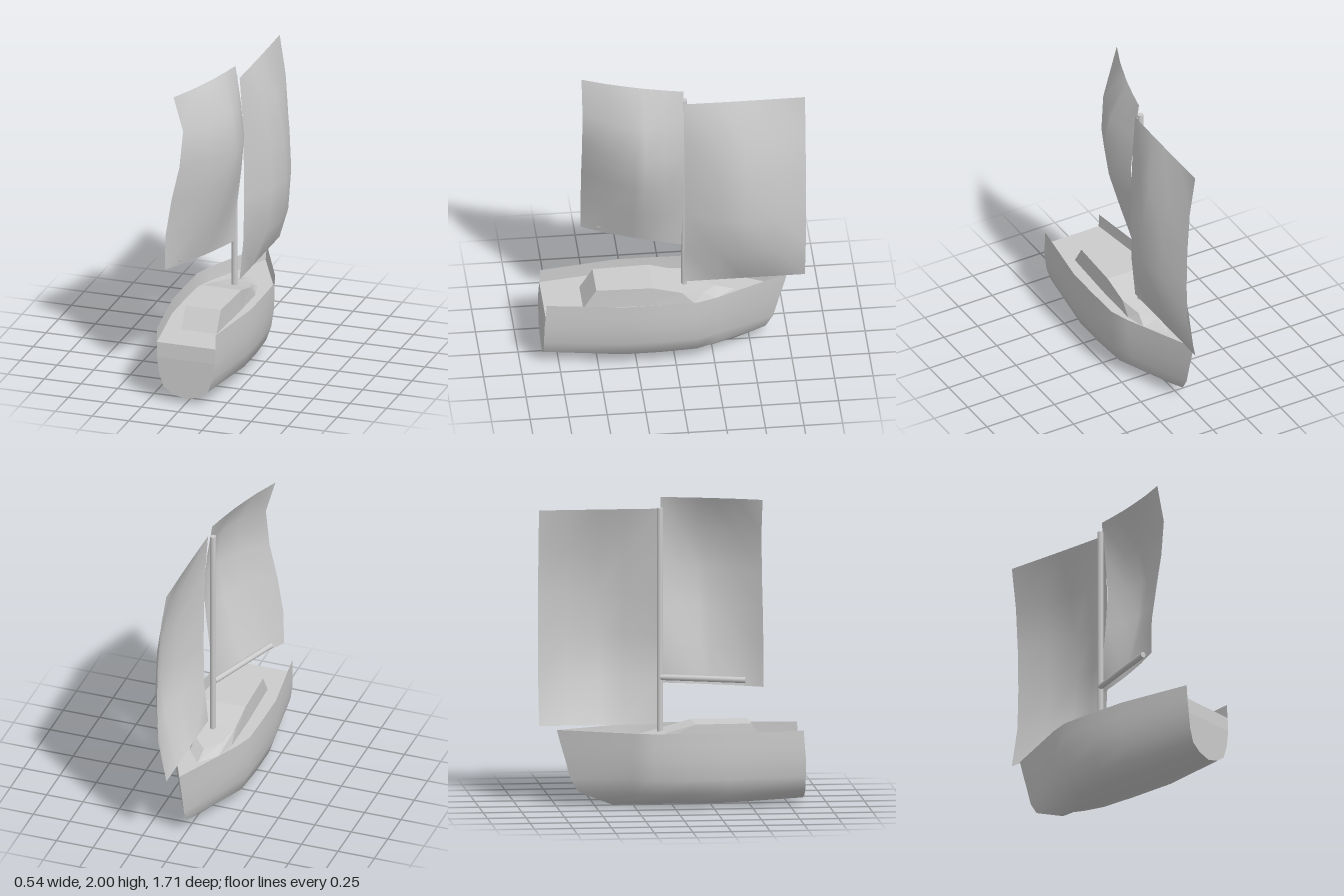
import * as THREE from 'three';

const makeMaterial = (flat = false) =>
  new THREE.MeshStandardMaterial({ color: 0xcccccc, side: THREE.DoubleSide, flatShading: flat });

// Surface through rows of [x, y, z] points
function gridMesh(name, rows, flat = false) {
  const n = rows[0].length, index = [];
  for (let i = 0; i < rows.length - 1; i++) {
    for (let j = 0; j < n - 1; j++) {
      const a = i * n + j, b = a + 1, c = a + n, d = c + 1;
      index.push(a, b, c, b, d, c);
    }
  }
  const geo = new THREE.BufferGeometry();
  geo.setAttribute('position', new THREE.Float32BufferAttribute(rows.flat(2), 3));
  geo.setIndex(index);
  geo.computeVertexNormals();
  const mesh = new THREE.Mesh(geo, makeMaterial(flat));
  mesh.name = name;
  return mesh;
}

const mirror = ([x, y, z]) => [-x, y, z];

// Round bar between two points
function bar(name, from, to, radius) {
  const a = new THREE.Vector3(...from), b = new THREE.Vector3(...to);
  const dir = b.clone().sub(a);
  const mesh = new THREE.Mesh(new THREE.CylinderGeometry(radius, radius, dir.length(), 12), makeMaterial());
  mesh.position.copy(a).add(b).multiplyScalar(0.5);
  mesh.quaternion.setFromUnitVectors(new THREE.Vector3(0, 1, 0), dir.normalize());
  mesh.name = name;
  return mesh;
}

function createHull() {
  const hull = new THREE.Group();
  hull.name = 'hull';

  // Half sections from rail to keel, stern to stem; the second point is the deck edge
  const section = (z, xs, ys) => xs.map((x, i) => [x, ys[i], z]);
  const midX = [0.268, 0.268, 0.265, 0.25, 0.22, 0.13, 0];
  const midY = [0.495, 0.4, 0.3, 0.19, 0.09, 0.035, 0.003];
  const stern = section(0.85, [0.2, 0.2, 0.197, 0.182, 0.152, 0.09, 0], [0.495, 0.4, 0.3, 0.19, 0.1, 0.055, 0.03]);
  stern[0][2] = 0.835;
  stern[1][2] = 0.842;
  const stem = [[0, 0.495, -0.745], [0, 0.4, -0.72], [0, 0.3, -0.69], [0, 0.17, -0.655],
    [0, 0.09, -0.605], [0, 0.04, -0.48], [0, 0, -0.38]];
  const halves = [
    stern,
    section(0.34, midX, midY),
    section(0.1, midX, midY),
    section(-0.14, [0.263, 0.262, 0.257, 0.24, 0.205, 0.12, 0], midY),
    section(-0.27, [0.22, 0.217, 0.208, 0.187, 0.15, 0.085, 0], midY),
    stem,
  ];
  const rings = halves.map(h => [...h, ...h.slice(0, -1).reverse().map(mirror)]);
  hull.add(gridMesh('hullShell', rings));

  // Deck set below the rail
  hull.add(gridMesh('deck', halves.map(h => [mirror(h[1]), h[1]]), true));

  // Flat transom up to the deck
  hull.add(gridMesh('transom', stern.slice(1).reverse().map(p => [mirror(p), p]), true));
  return hull;
}

function createCabin() {
  const cabin = new THREE.Group();
  cabin.name = 'cabin';
  // Matching half outlines from the back to the front tip
  const base = [[0.12, 0.4, 0.59], [0.135, 0.4, 0.17], [0.135, 0.4, -0.13], [0.1, 0.4, -0.27], [0, 0.4, -0.4]];
  const roof = [[0.12, 0.535, 0.505], [0.132, 0.535, 0.14], [0.13, 0.482, -0.05], [0.09, 0.452, -0.19], [0, 0.435, -0.28]];
  const loop = half => [...half, ...half.slice(0, -1).reverse().map(mirror), half[0]];
  const lower = loop(base);
  cabin.add(gridMesh('cabinWalls', loop(roof).map((p, i) => [p, lower[i]]), true));
  cabin.add(gridMesh('cabinRoof', roof.map(p => [mirror(p), p]), true));
  return cabin;
}

function createMainSail() {
  const t = [0, 0.2, 0.4, 0.5, 0.75, 1], belly = [0, 0.6, 0.98, 1, 0.85, 0];
  // Height, x at the mast, x at the free edge, depth of the belly
  const rows = [
    [0.79, 0.025, -0.24, 0.02], [1.03, 0.03, -0.235, 0.09], [1.28, 0.06, -0.195, 0.13],
    [1.52, 0.08, -0.14, 0.13], [1.77, 0.055, -0.115, 0.1], [2, 0.02, -0.18, 0.02],
  ];
  return gridMesh('mainSail', rows.map(([y, luff, leech, depth]) =>
    t.map((s, i) => [luff + (leech - luff) * s + depth * belly[i], y, -0.07 + 0.64 * s])));
}

function createForeSail() {
  const ys = [0.515, 0.8, 1.08, 1.36, 1.65, 1.92], rise = [0, 0.86, 1, 0.92, 0.64, 0.02];
  const zs = [-0.07, -0.29, -0.46, -0.66, -0.855], belly = [0.17, 0.78, 1, 0.81, 0.36];
  return gridMesh('foreSail', ys.map((y, r) => zs.map((z, c) => [0.048 + 0.182 * rise[r] * belly[c], y, z])));
}

export function createModel() {
  const boat = new THREE.Group();
  boat.name = 'sailboat';
  boat.add(
    createHull(),
    createCabin(),
    bar('mast', [0.012, 0.42, -0.075], [0.012, 1.93, -0.075], 0.02),
    bar('boom', [0.005, 0.828, -0.07], [-0.19, 0.828, 0.46], 0.019),
    createMainSail(),
    createForeSail(),
  );
  return boat;
}
